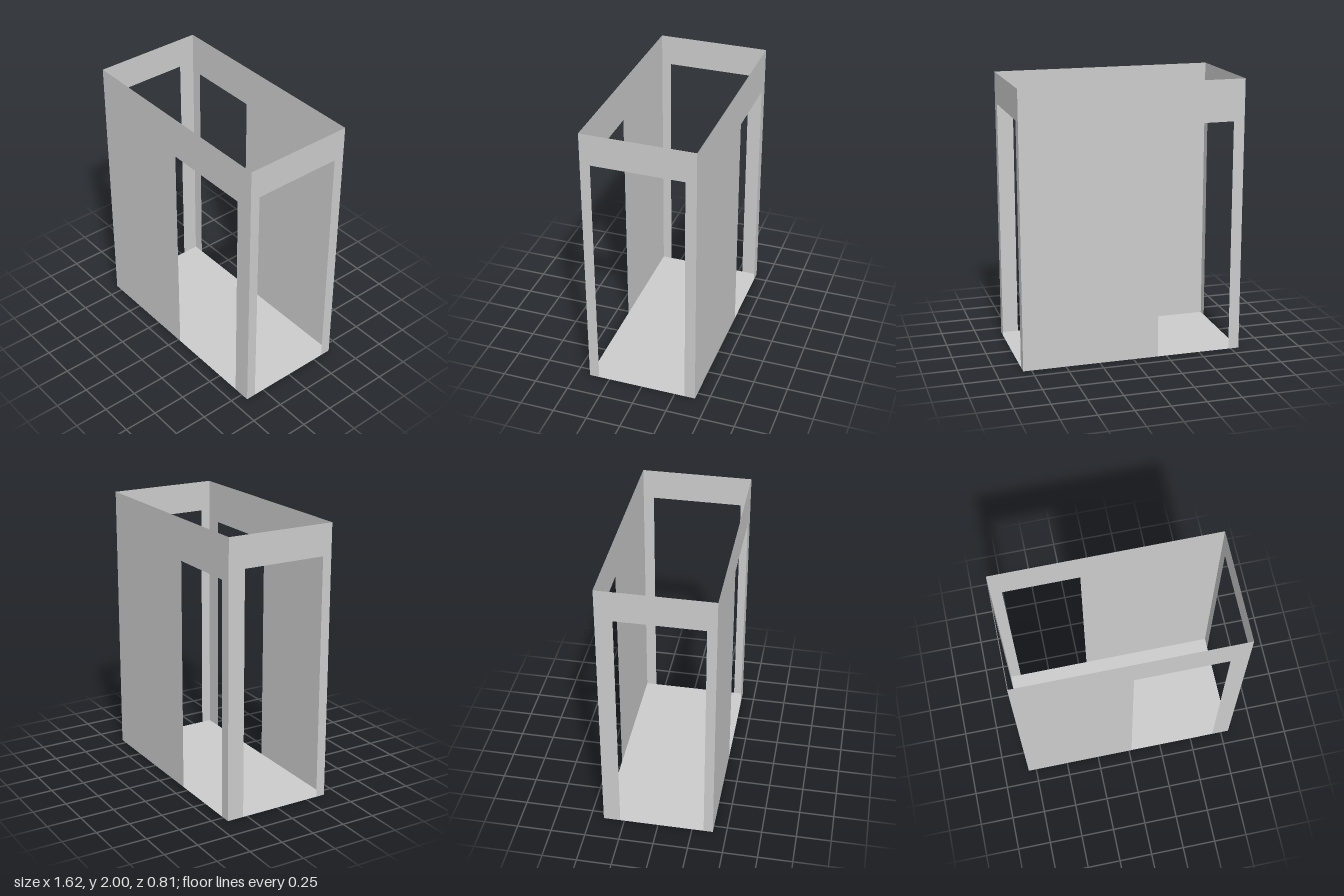
import * as THREE from 'three';

const W = 1.62, H = 2, D = 0.805;
const material = new THREE.MeshStandardMaterial({ color: 0xcccccc, flatShading: true, side: THREE.DoubleSide });

// Thin upright sheet with a doorway reaching down to the floor.
// The doorway runs from a to b, measured from the sheet's centre line.
function wall(name, width, a, b, top) {
  const h = width / 2;
  const outline = [[-h, 0], [a, 0], [a, top], [b, top], [b, 0], [h, 0], [h, H], [-h, H]];
  const shape = new THREE.Shape(outline.map(([x, y]) => new THREE.Vector2(x, y)));
  const mesh = new THREE.Mesh(new THREE.ShapeGeometry(shape), material);
  mesh.name = name;
  return mesh;
}

export function createModel() {
  const group = new THREE.Group();
  group.name = 'openRoom';

  // Long walls, each with an off-centre doorway
  const front = wall('frontWall', W, 0.02, 0.68, 1.7);
  front.position.z = D / 2;

  const back = wall('backWall', W, 0.185, 0.73, 1.7);
  back.rotation.y = Math.PI;
  back.position.z = -D / 2;

  // End walls with wide openings; local x runs along -z on the left end, +z on the right
  const left = wall('leftEndWall', D, -0.33, 0.325, 1.775);
  left.rotation.y = Math.PI / 2;
  left.position.x = W / 2;

  const right = wall('rightEndWall', D, -0.28, 0.335, 1.775);
  right.rotation.y = -Math.PI / 2;
  right.position.x = -W / 2;

  // Floor sheet; the top stays open
  const floor = new THREE.Mesh(new THREE.PlaneGeometry(W, D), material);
  floor.name = 'floor';
  floor.rotation.x = -Math.PI / 2;

  group.add(front, back, left, right, floor);
  return group;
}
